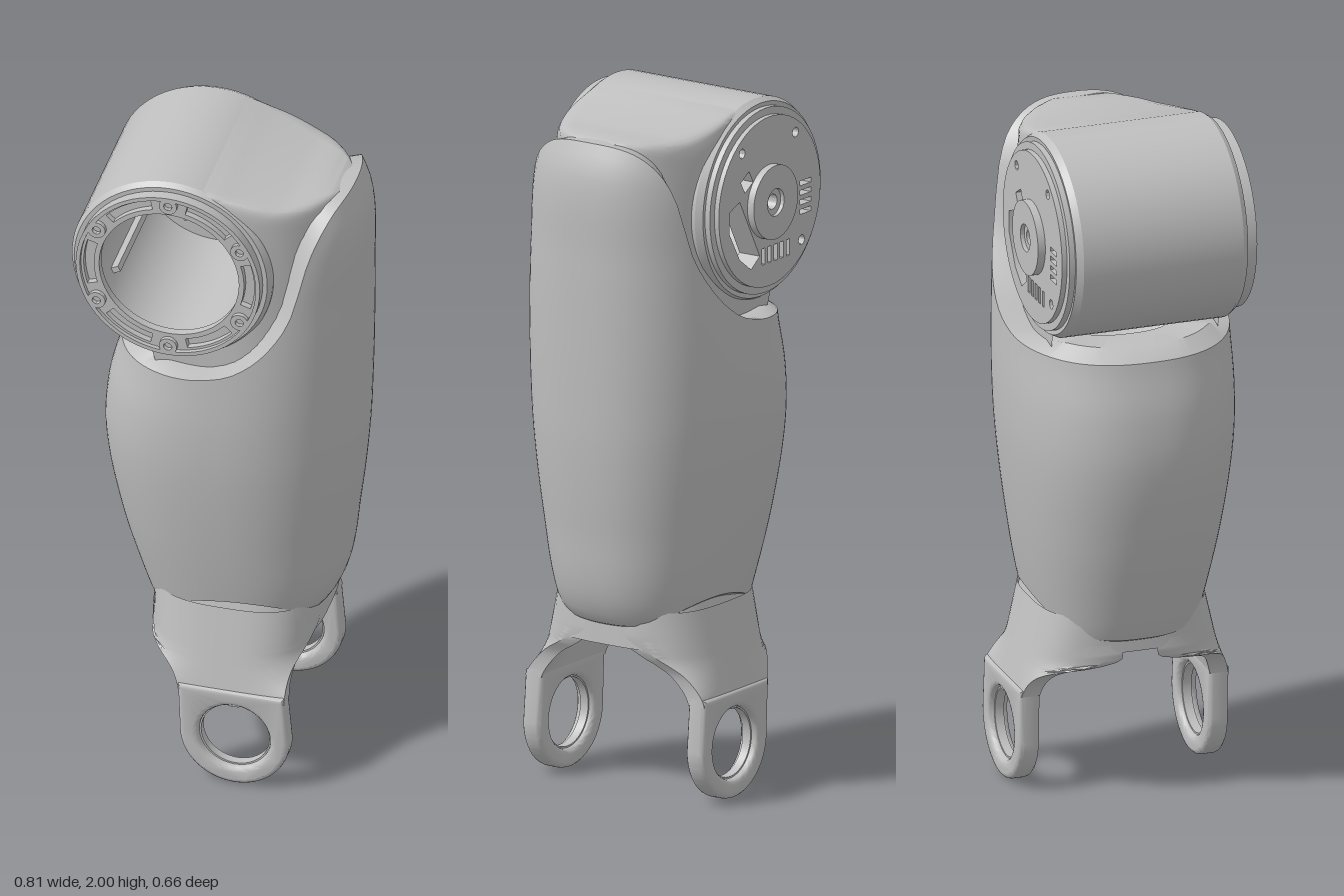
import * as THREE from 'three';
import { toCreasedNormals } from 'three/addons/utils/BufferGeometryUtils.js';

const grey = new THREE.MeshStandardMaterial({ color: 0xbfbfbf, side: THREE.DoubleSide });
grey.name = 'satin grey';

const DX = -0.11, DY = 1.706; // drum axis
const EX = 0.09, EY = 0.165; // fork eye axis
const { clamp, lerp, smoothstep } = THREE.MathUtils;

// Smooth curve through (key, value) points
function curve(keys, values) {
  const c = new THREE.CubicInterpolant(keys, values, 1);
  return (t) => c.evaluate(t)[0];
}

function add(parent, name, geo, crease = 0.6) {
  const m = new THREE.Mesh(toCreasedNormals(geo, crease), grey);
  m.name = name;
  parent.add(m);
  return m;
}

// Surface from a grid of points fn(i, j)
function grid(nu, nv, fn) {
  const pos = [], idx = [];
  for (let j = 0; j <= nv; j++) for (let i = 0; i <= nu; i++) pos.push(...fn(i, j));
  for (let j = 0; j < nv; j++) for (let i = 0; i < nu; i++) {
    const a = j * (nu + 1) + i, b = a + 1, c = a + nu + 1, d = c + 1;
    idx.push(a, c, b, b, c, d);
  }
  const g = new THREE.BufferGeometry();
  g.setAttribute('position', new THREE.Float32BufferAttribute(pos, 3));
  g.setIndex(idx);
  return g;
}

// Flat plate between two z values, from a shape
function plate(shape, z0, z1) {
  return new THREE.ExtrudeGeometry(shape, { depth: z1 - z0, bevelEnabled: false, curveSegments: 32 }).translate(0, 0, z0);
}

function circle(x, y, r) {
  return new THREE.Path().absarc(x, y, r, 0, Math.PI * 2, true);
}

function disc(x, y, r, hole = 0) {
  const s = new THREE.Shape().absarc(x, y, r, 0, Math.PI * 2, false);
  if (hole) s.holes.push(circle(x, y, hole));
  return s;
}

function polyHole(...pts) {
  return new THREE.Path(pts.map(([x, y]) => new THREE.Vector2(x, y)));
}

function boxHole(x, y, w, h) {
  return polyHole([x - w, y - h], [x - w, y + h], [x + w, y + h], [x + w, y - h]);
}

function superellipse(t, n) {
  const c = Math.cos(t), s = Math.sin(t);
  return [Math.sign(c) * Math.abs(c) ** (2 / n), Math.sign(s) * Math.abs(s) ** (2 / n)];
}

function solve(f, lo, hi) {
  for (let k = 0; k < 30; k++) {
    const m = (lo + hi) / 2;
    if (f(m) < 0) lo = m; else hi = m;
  }
  return lo;
}

// Main casing: rounded sections with curved upper and lower rims
function casing() {
  const ys = [0.45, 0.5, 0.57, 0.8, 1.05, 1.2, 1.37, 1.6, 1.85, 1.95];
  const left = curve(ys, [-0.2, -0.225, -0.25, -0.315, -0.354, -0.344, -0.304, -0.29, -0.29, -0.29]);
  const right = curve(ys, [0.27, 0.29, 0.328, 0.365, 0.39, 0.396, 0.4, 0.402, 0.395, 0.36]);
  const half = curve(ys, [0.22, 0.232, 0.25, 0.292, 0.322, 0.328, 0.324, 0.315, 0.295, 0.27]);
  const upper = curve([-0.4, -0.2, 0, 0.1, 0.2, 0.25, 0.29, 0.33, 0.36, 0.4],
    [1.355, 1.365, 1.39, 1.43, 1.53, 1.63, 1.8, 1.9, 1.935, 1.94]);
  const lower = curve([-0.3, -0.2, -0.12, -0.03, 0.1, 0.2, 0.28, 0.35],
    [0.5, 0.485, 0.525, 0.562, 0.58, 0.56, 0.51, 0.505]);
  const N = 96, M = 44;
  const at = (t, y, k = 1) => {
    const [c, s] = superellipse(t, 2.35);
    const cx = (left(y) + right(y)) / 2;
    return [cx + (right(y) - left(y)) / 2 * c * k, y, half(y) * s * k];
  };
  return grid(N, M + 4, (i, j) => {
    const t = i / N * Math.PI * 2;
    const y0 = solve((y) => y - lower(at(t, y)[0]), 0.4, 0.8);
    const y1 = solve((y) => y - upper(at(t, y)[0]), 0.9, 1.96);
    if (j === 0) return at(t, y0 + 0.05, 0.88);
    if (j === 1) return at(t, y0, 0.95);
    if (j <= M + 2) return at(t, y0 + 0.008 + (y1 - y0 - 0.008) * (j - 2) / M);
    // Lip turned inward, closing the top against the neck
    const p = at(t, y1, j === M + 3 ? 0.86 : 0.5);
    p[1] += 0.035 * clamp(-p[0] / 0.18, 0, 1);
    return p;
  });
}

// Neck joining the drum to the casing, wrapped around the drum cavity
function neck() {
  const outline = new THREE.CatmullRomCurve3([
    [-0.14, 1.32], [0, 1.22], [0.2, 1.27], [0.32, 1.45], [0.348, 1.7], [0.348, 1.9],
    [0.34, 1.931], [0.2, 1.944], [0.08, 1.964], [0, 1.982], [DX, 2],
  ].map(([x, y]) => new THREE.Vector3(x, y, 0)), false, 'centripetal');
  const edge = outline.getSpacedPoints(90);
  const width = (x) => 0.25 * Math.sqrt(Math.max(0.003, 1 - (Math.max(0, x - 0.07) / 0.285) ** 2));
  const T = [0, 0.3, 0.6, 0.8, 0.92, 1], inset = [0, 0, 0.05, 0.2, 0.5, 1], n = T.length;
  return grid(90, 2 * n - 1, (i, j) => {
    const k = j < n ? j : 2 * n - 1 - j;
    const a = THREE.MathUtils.degToRad(-105 + 195 * i / 90);
    const x = lerp(DX + 0.26 * Math.cos(a), edge[i].x, T[k]);
    const y = lerp(DY + 0.26 * Math.sin(a), edge[i].y, T[k]);
    const z = width(x) * (1 - inset[k] * (0.05 + 0.25 * smoothstep(x, -0.05, 0.25)));
    return [x, y, j < n ? z : -z];
  });
}

function drum() {
  const g = new THREE.Group();
  g.name = 'drum';
  const wall = [[0.218, -0.25], [0.283, -0.26], [0.294, -0.24], [0.294, 0.24], [0.283, 0.256], [0.218, 0.256], [0.218, -0.25]];
  add(g, 'drumWall', new THREE.LatheGeometry(wall.map((p) => new THREE.Vector2(...p)), 72)
    .rotateX(Math.PI / 2).translate(DX, DY, 0), 0.4);

  // Front ring with arc pockets and screw bosses
  const ring = disc(DX, DY, 0.27, 0.205);
  for (let k = 0; k < 6; k++) {
    const a = k * Math.PI / 3 + Math.PI / 6, a0 = a + 0.22, a1 = a + 0.83;
    const pocket = new THREE.Path();
    pocket.absarc(DX, DY, 0.25, a0, a1, false);
    pocket.absarc(DX, DY, 0.22, a1, a0, true);
    ring.holes.push(pocket);
    add(g, 'screwBoss', plate(disc(DX + 0.242 * Math.cos(a), DY + 0.242 * Math.sin(a), 0.026, 0.012), 0.25, 0.288));
  }
  add(g, 'frontRing', plate(ring, 0.25, 0.275));
  add(g, 'frontRim', plate(disc(DX, DY, 0.27, 0.258), 0.25, 0.288));

  // Back wall with through openings, and vent slots in its outer layer
  const openings = () => [
    polyHole([0.035, 1.735], [0.085, 1.715], [0.085, 1.65], [0.035, 1.565], [-0.02, 1.525], [-0.062, 1.555]),
    polyHole([-0.03, 1.78], [-0.01, 1.815], [0.03, 1.79], [0.01, 1.755]),
    circle(DX, DY, 0.025),
  ];
  const inner = disc(DX, DY, 0.222), outer = disc(DX, DY, 0.248);
  inner.holes.push(...openings());
  outer.holes.push(...openings());
  for (let k = 0; k < 5; k++) outer.holes.push(boxHole(-0.2 + k * 0.03, 1.55, 0.008, 0.024));
  for (let k = 0; k < 4; k++) outer.holes.push(boxHole(-0.285, 1.64 + k * 0.028, 0.026, 0.007));
  for (const a of [0.9, 2.2, 3.9]) {
    outer.holes.push(circle(DX + 0.215 * Math.cos(a), DY + 0.215 * Math.sin(a), 0.014));
  }
  add(g, 'innerWall', plate(inner, -0.255, -0.22));
  add(g, 'backPlate', plate(outer, -0.29, -0.255));
  add(g, 'backStep', plate(disc(DX, DY, 0.27, 0.24), -0.275, -0.25));
  add(g, 'backHub', plate(disc(DX, DY, 0.108, 0.04), -0.312, -0.285));
  add(g, 'hubCollar', plate(disc(DX, DY, 0.04, 0.022), -0.3, -0.19));

  // Mounting pads and ribs inside the cavity
  for (const [x, y, w, h, d] of [[-0.16, 1.62, 0.12, 0.09, 0.03], [-0.19, 1.72, 0.06, 0.05, 0.02], [-0.09, 1.81, 0.08, 0.04, 0.03]]) {
    add(g, 'mountPad', new THREE.BoxGeometry(w, h, d).rotateZ(0.45).translate(x, y, -0.21));
  }
  for (const a of [0.6, 3.6]) {
    add(g, 'cavityRib', new THREE.BoxGeometry(0.03, 0.018, 0.4).translate(0.21, 0, -0.03).rotateZ(a).translate(DX, DY, 0));
  }
  return g;
}

// Half depth of the fork, narrowing towards the casing
const forkDepth = (y) => 0.315 - 0.24 * Math.max(0, y - 0.28);

// One fork arm: an eye, and a panel widening into the collar
function forkArm() {
  const g = new THREE.Group();
  g.name = 'forkArm';
  const s = new THREE.Shape();
  s.moveTo(-0.076, 0.32);
  s.lineTo(EX - 0.16, EY);
  s.absarc(EX, EY, 0.16, Math.PI, Math.PI * 2, false);
  s.lineTo(0.236, 0.32);
  s.holes.push(circle(EX, EY, 0.105));
  add(g, 'eye', new THREE.ExtrudeGeometry(s, {
    depth: 0.033, bevelThickness: 0.015, bevelSize: 0.015, bevelOffset: -0.015, bevelSegments: 3, curveSegments: 28,
  }).translate(0, 0, 0.267), 0.7);
  const ys = [0.28, 0.32, 0.36, 0.385, 0.405, 0.43, 0.47, 0.56];
  const left = curve(ys, [-0.073, -0.08, -0.105, -0.14, -0.185, -0.202, -0.2, -0.195]);
  const right = curve(ys, [0.24, 0.236, 0.238, 0.244, 0.255, 0.27, 0.284, 0.275]);
  const K = 24;
  add(g, 'armPanel', grid(2 * K + 2, 26, (i, j) => {
    const y = 0.3 + 0.26 * j / 26;
    const k = i === 2 * K + 2 ? 0 : i <= K ? i : 2 * K + 1 - i;
    const x = lerp(left(y), right(y), k / K);
    const c = Math.min(0.98, Math.abs(x - 0.042) / 0.247);
    const bend = lerp(1, (1 - c ** 3) ** (1 / 3), smoothstep(y, 0.3, 0.43));
    const z = forkDepth(y) * bend;
    return [x, y, i <= K || i === 2 * K + 2 ? z : z - 0.055];
  }), 0.7);
  add(g, 'eyeLip', plate(disc(EX, EY, 0.12, 0.1), 0.268, 0.295));
  add(g, 'eyeKey', new THREE.BoxGeometry(0.03, 0.025, 0.04).translate(EX, EY + 0.116, 0.29));
  return g;
}

// Arched collar tying both arms together under the casing
function collar() {
  const N = 96, M = 10;
  const at = (t, y, k) => {
    const [c, s] = superellipse(t, 3);
    return [0.042 + 0.247 * c * k, y, forkDepth(y) * s * k];
  };
  return grid(N, 2 * M + 1, (i, j) => {
    const t = i / N * Math.PI * 2;
    const z = Math.abs(at(t, 0.42, 1)[2]);
    const y0 = 0.45 - 0.045 * smoothstep(z, 0.15, 0.26);
    const outer = j <= M;
    const v = outer ? 1 - j / M : (j - M - 1) / M;
    return at(t, y0 + (0.63 - y0) * v, (outer ? 0.995 : 0.86) - 0.03 * v);
  });
}

export function createModel() {
  const model = new THREE.Group();
  model.name = 'robotLimbSegment';
  add(model, 'casing', casing(), 0.7);
  add(model, 'neck', neck(), 0.7);
  model.add(drum());

  const fork = new THREE.Group();
  fork.name = 'fork';
  const front = forkArm(), back = forkArm();
  back.scale.z = -1;
  fork.add(front, back);
  add(fork, 'collar', collar(), 0.7);
  add(fork, 'innerDeck', new THREE.CylinderGeometry(0.21, 0.21, 0.02, 48).translate(0.042, 0.55, 0));
  for (const x of [-0.1, 0.18]) {
    add(fork, 'deckRib', new THREE.BoxGeometry(0.02, 0.07, 0.3).translate(x, 0.51, 0));
  }
  model.add(fork);
  return model;
}
